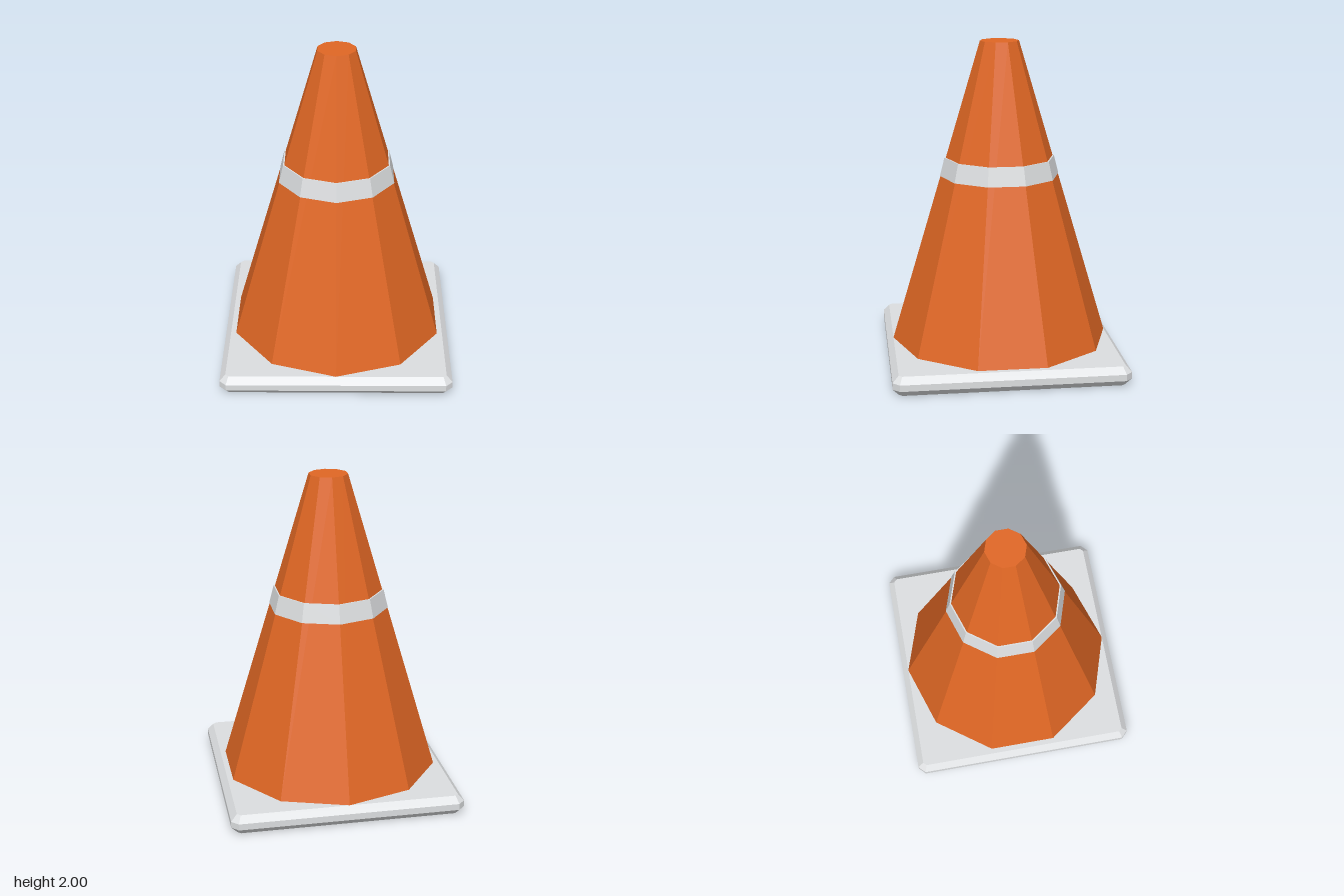
import * as THREE from 'three';

export function createModel() {
  const group = new THREE.Group();
  const orange = new THREE.MeshStandardMaterial({ color: 0xe06724, flatShading: true });
  orange.name = 'orange';
  const paleGrey = new THREE.MeshStandardMaterial({ color: 0xdcdee0, flatShading: true });
  paleGrey.name = 'pale grey';

  const add = (name, geometry, material) => {
    const mesh = new THREE.Mesh(geometry, material);
    mesh.name = name;
    group.add(mesh);
  };

  // Square foot plate with cut corners and chamfered top and bottom edges
  const h = 0.68, c = h - 0.02, bevel = 0.037;
  const outline = new THREE.Shape([
    [h, -c], [h, c], [c, h], [-c, h], [-h, c], [-h, -c], [-c, -h], [c, -h],
  ].map(([x, y]) => new THREE.Vector2(x, y)));
  const plate = new THREE.ExtrudeGeometry(outline, {
    depth: 0.04, bevelEnabled: true, bevelSegments: 1, bevelSize: bevel, bevelThickness: 0.04,
  });
  plate.rotateX(-Math.PI / 2).translate(0, 0.04, 0);
  add('basePlate', plate, paleGrey);

  // Ten-sided tapering body with a flat top
  const sides = 10;
  const body = new THREE.CylinderGeometry(0.12, 0.68, 1.88, sides);
  body.translate(0, 0.12 + 0.94, 0);
  add('coneBody', body, orange);

  // Raised reflective band, with its lips sunk into the body
  const band = new THREE.LatheGeometry([
    [0.355, 1.165], [0.372, 1.165], [0.343, 1.28], [0.32, 1.28],
  ].map(([r, y]) => new THREE.Vector2(r, y)), sides);
  add('reflectiveBand', band, paleGrey);

  return group;
}
